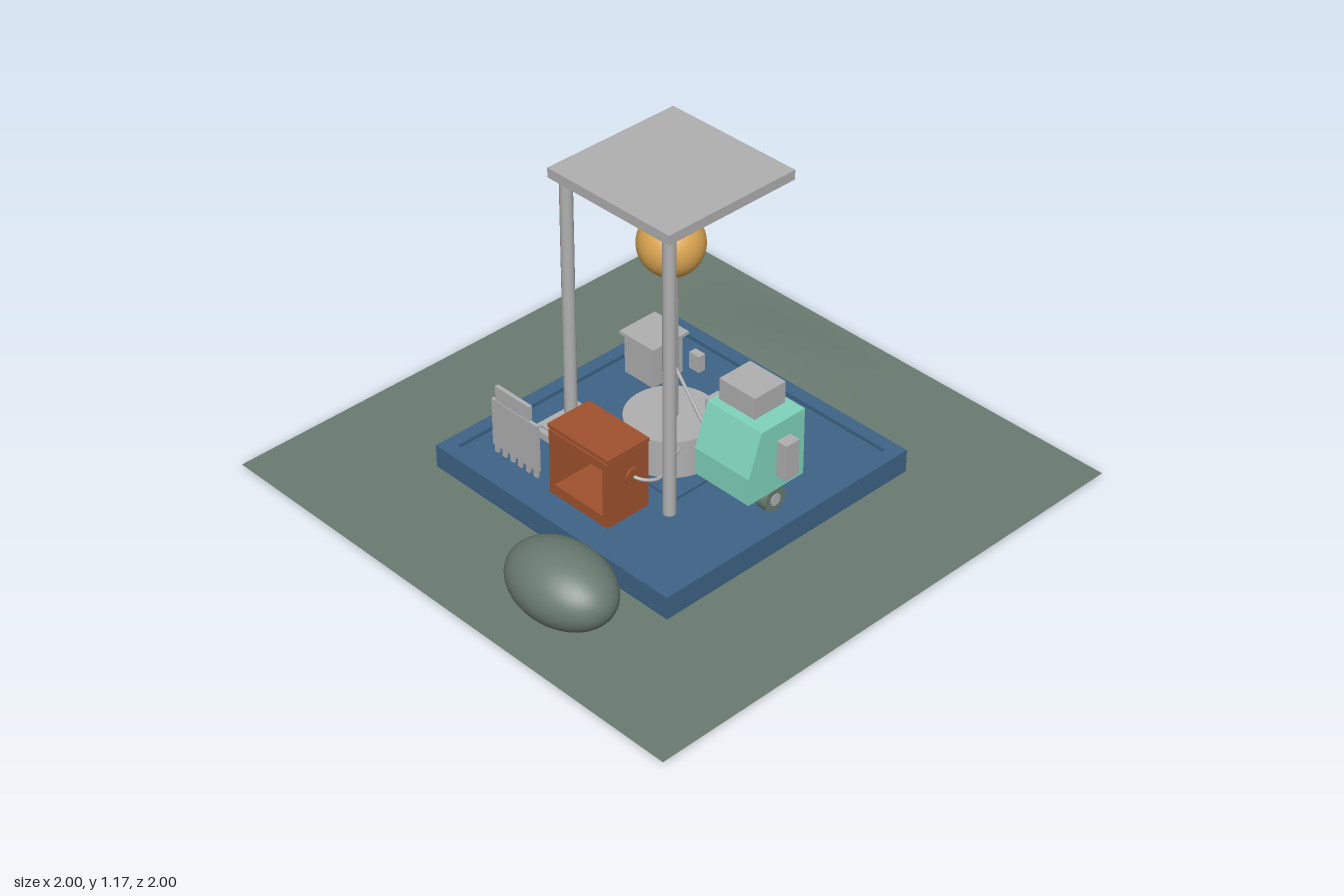
import * as THREE from 'three';

const mat = (name, color) => {
  const m = new THREE.MeshStandardMaterial({ color });
  m.name = name;
  return m;
};

export function createModel() {
  const root = new THREE.Group();
  const grey = mat('grey metal', 0xb0b0b0);
  const orange = mat('rust orange', 0xa0522d);
  const mint = mat('mint', 0x7fd4bc);
  const blue = mat('slate blue', 0x3f6487);
  const green = mat('moss green', 0x6a7b70);
  const gold = mat('gold', 0xdaa550);

  const add = (name, geo, material, x = 0, y = 0, z = 0) => {
    const m = new THREE.Mesh(geo, material);
    m.name = name;
    m.position.set(x, y, z);
    root.add(m);
    return m;
  };
  // Box given by its lower and upper limits on each axis
  const box = (name, material, x0, x1, y0, y1, z0, z1) =>
    add(name, new THREE.BoxGeometry(x1 - x0, y1 - y0, z1 - z0), material,
      (x0 + x1) / 2, (y0 + y1) / 2, (z0 + z1) / 2);
  const cyl = (name, material, r, y0, y1, x, z, sides = 32) =>
    add(name, new THREE.CylinderGeometry(r, r, y1 - y0, sides), material, x, (y0 + y1) / 2, z);
  const tube = (name, material, points, r) =>
    add(name, new THREE.TubeGeometry(new THREE.CatmullRomCurve3(
      points.map(p => new THREE.Vector3(...p))), 24, r, 10), material);

  // Ground sheet with a low smooth mound near the back
  const sheet = (half, y, down) => {
    const g = new THREE.PlaneGeometry(half * 2, half * 2, 44, 44);
    g.rotateX(down ? Math.PI / 2 : -Math.PI / 2);
    const p = g.attributes.position;
    for (let i = 0; i < p.count; i++) {
      const dx = (p.getX(i) + 0.25) / 0.3, dz = (p.getZ(i) + 0.72) / 0.2;
      const edge = Math.max(Math.abs(p.getX(i)), Math.abs(p.getZ(i)));
      const fade = Math.min(1, Math.max(0, (0.96 - edge) / 0.1));
      p.setY(i, y + 0.018 * Math.exp(-dx * dx - dz * dz) * fade);
    }
    g.computeVertexNormals();
    return g;
  };
  green.side = THREE.DoubleSide;
  add('ground', sheet(1, 0.013, false), green);
  add('groundUnderside', sheet(0.91, 0.011, true), grey);

  // Base with a shallow raised rim
  const R = 0.545, I = 0.495, floor = 0.085;
  box('baseFloor', blue, -I, I, 0.014, floor, -I, I);
  for (const s of [-1, 1]) {
    const a = Math.min(s * I, s * R), b = Math.max(s * I, s * R);
    box('baseRimSide', blue, a, b, 0.014, 0.1, -R, R);
    box('baseRimEnd', blue, -I, I, 0.014, 0.1, a, b);
  }
  box('drumPad', blue, -0.2, 0.2, floor, 0.095, -0.18, 0.18);

  // Drum, column and orb
  cyl('drum', grey, 0.158, floor, 0.238, 0, 0, 48);
  cyl('column', grey, 0.024, 0.23, 0.82, 0, 0);
  add('orb', new THREE.SphereGeometry(0.112, 40, 24), gold, 0, 0.9, 0);

  // Canopy on two front posts
  for (const s of [-1, 1]) cyl('canopyPost', grey, 0.022, floor, 1.14, s * 0.23, 0.23, 24);
  box('canopy', grey, -0.27, 0.27, 1.135, 1.17, -0.27, 0.27);

  // Open-fronted cabinet
  box('cabinetBack', orange, -0.115, 0.155, floor, 0.335, 0.25, 0.27);
  box('cabinetBottom', orange, -0.115, 0.155, floor, 0.125, 0.25, 0.43);
  box('cabinetTop', orange, -0.115, 0.155, 0.31, 0.335, 0.25, 0.43);
  box('cabinetLeftWall', orange, 0.133, 0.155, floor, 0.335, 0.25, 0.43);
  box('cabinetRightWall', orange, -0.115, -0.093, floor, 0.335, 0.25, 0.43);
  box('cabinetLid', orange, -0.12, 0.16, 0.341, 0.355, 0.25, 0.43);
  box('cabinetLidSpacer', orange, -0.105, 0.145, 0.33, 0.345, 0.26, 0.42);
  const port = add('cabinetPort', new THREE.CylinderGeometry(0.032, 0.032, 0.01, 24), orange, 0.158, 0.24, 0.32);
  port.rotation.z = Math.PI / 2;
  tube('cable', grey, [[0.15, 0.24, 0.325], [0.185, 0.228, 0.3], [0.2, 0.215, 0.25], [0.17, 0.212, 0.18], [0.13, 0.213, 0.09]], 0.006);
  tube('brace', grey, [[0.02, 0.432, 0], [0.2, 0.215, 0]], 0.006);

  // Mint machine: sloped-front body extruded across x
  const cx = 0.365;
  const side = new THREE.Shape();
  [[-0.132, 0.2], [-0.132, 0.3], [-0.078, 0.455], [0.115, 0.455], [0.115, 0.2]]
    .forEach(([a, b], i) => i ? side.lineTo(a, b) : side.moveTo(a, b));
  const body = new THREE.ExtrudeGeometry(side, { depth: 0.24, bevelEnabled: false });
  body.rotateY(Math.PI / 2);
  add('machineBody', body, mint, cx - 0.12, 0, 0);
  cyl('machineNeck', grey, 0.024, 0.45, 0.485, cx, 0, 24);
  box('machineHead', grey, cx - 0.078, cx + 0.078, 0.48, 0.56, -0.068, 0.068);
  for (const s of [-1, 1]) {
    add('machineArm', new THREE.BoxGeometry(0.042, 0.135, 0.058), grey, cx + s * 0.16, 0.343, 0);
    const wheel = add('machineWheel', new THREE.CylinderGeometry(0.046, 0.046, 0.04, 28), green, cx + s * 0.09, 0.15, 0);
    const hub = add('wheelHub', new THREE.CylinderGeometry(0.022, 0.022, 0.046, 20), grey, cx + s * 0.09, 0.15, 0);
    wheel.rotation.z = hub.rotation.z = Math.PI / 2;
    box('wheelStrut', grey, cx + s * 0.055 - 0.008, cx + s * 0.055 + 0.008, 0.14, 0.21, -0.015, 0.015);
  }

  // Thin standing panel with header and small feet
  box('panel', grey, -0.41, -0.19, 0.113, 0.295, 0.402, 0.414);
  box('panelHeader', grey, -0.382, -0.22, 0.305, 0.36, 0.406, 0.42);
  box('panelHeaderLink', grey, -0.36, -0.24, 0.29, 0.31, 0.406, 0.411);
  for (let i = 0; i < 6; i++) {
    const x = -0.395 + i * 0.038;
    box('panelFoot', grey, x - 0.008, x + 0.008, floor, 0.115, 0.403, 0.413);
  }

  // Low tray beside the drum
  box('tray', grey, -0.39, -0.16, floor, 0.113, 0.055, 0.26);
  box('trayTop', grey, -0.372, -0.178, 0.11, 0.122, 0.073, 0.242);

  // Lidded bin and small block at the back
  box('bin', grey, -0.435, -0.298, floor, 0.24, -0.342, -0.202);
  box('binLid', grey, -0.45, -0.285, 0.238, 0.25, -0.358, -0.192);
  box('smallBlock', grey, -0.3, -0.253, floor, 0.15, -0.405, -0.375);

  // Boulder in front
  const rock = new THREE.SphereGeometry(1, 40, 24);
  rock.scale(0.21, 0.127, 0.149);
  add('boulder', rock, green, 0.292, 0.128, 0.75);

  return root;
}
